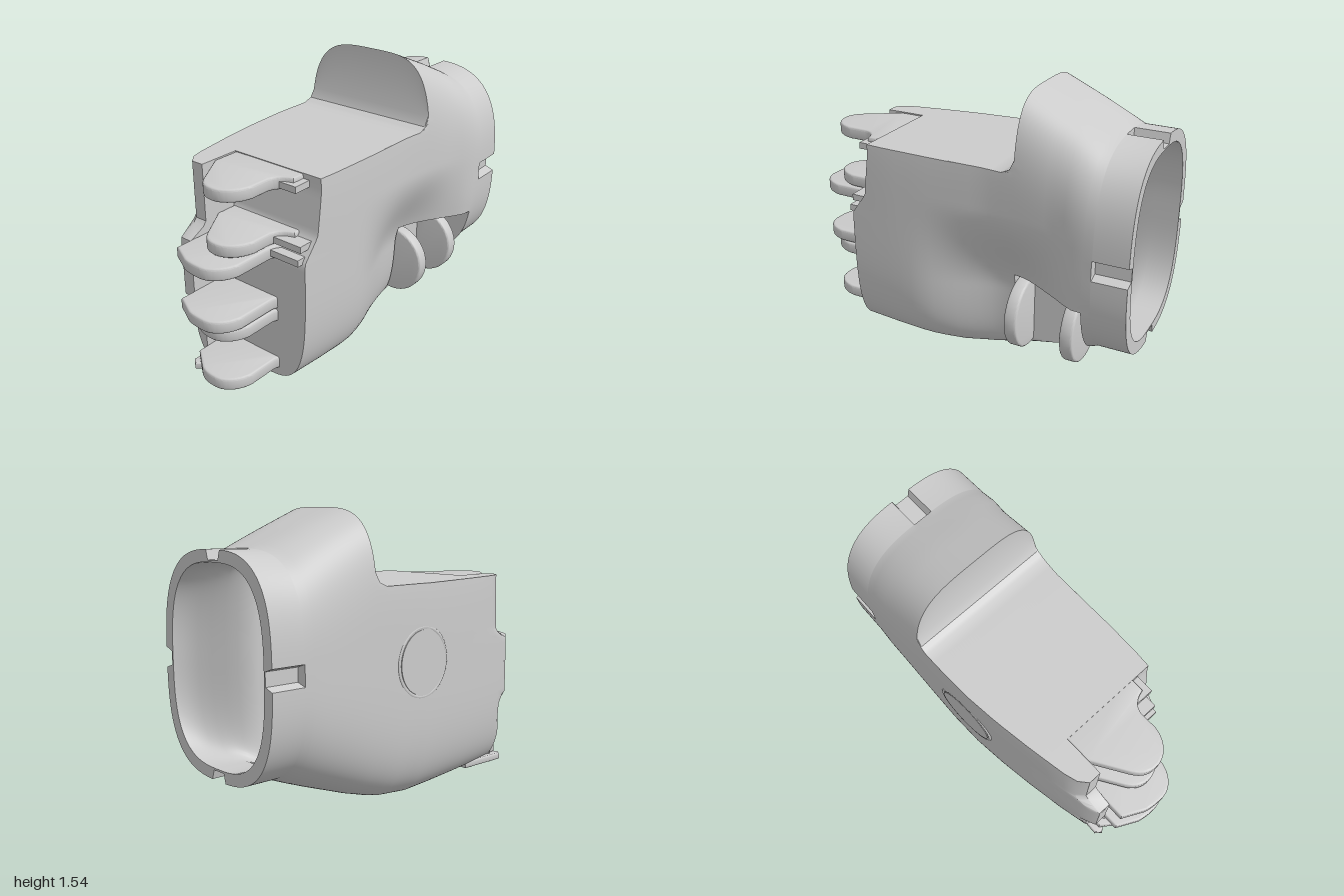
import * as THREE from 'three';
import { toCreasedNormals } from 'three/addons/utils/BufferGeometryUtils.js';

const N = 200; // points around each cross-section
const grey = new THREE.MeshStandardMaterial({ color: 0xcccccc });
const { smoothstep, lerp } = THREE.MathUtils;

// Linear lookup in rows of [key, values...]
function lookup(rows, k) {
  if (k <= rows[0][0]) return rows[0].slice(1);
  for (let i = 1; i < rows.length; i++) {
    const a = rows[i - 1], b = rows[i];
    if (k <= b[0]) {
      const t = (k - a[0]) / (b[0] - a[0]);
      return a.slice(1).map((v, j) => v + (b[j + 1] - v) * t);
    }
  }
  return rows[rows.length - 1].slice(1);
}

// z, half width on -x, half width on +x, bottom, top, squareness
const SECTIONS = [
  [-1, 0.44, 0.445, 0.235, 1.35, 2.9],
  [-0.82, 0.445, 0.45, 0.235, 1.35, 2.9],
  [-0.72, 0.45, 0.44, 0.195, 1.395, 3.1],
  [-0.6, 0.45, 0.41, 0.15, 1.45, 3.3],
  [-0.37, 0.45, 0.38, 0.07, 1.545, 3.8],
  [-0.2, 0.45, 0.36, 0.02, 1.55, 4],
  [0, 0.445, 0.36, 0, 1.55, 4],
  [0.2, 0.425, 0.36, 0.005, 1.55, 4],
  [0.4, 0.395, 0.355, 0.01, 1.55, 4],
  [0.6, 0.36, 0.34, 0.015, 1.55, 4],
  [0.85, 0.3, 0.33, 0.022, 1.55, 4],
];
// Height of the flat deck in front of the raised cuff
const DECK = [[-0.371, 2], [-0.37, 1.24], [-0.345, 1.185], [-0.3, 1.165], [1, 1.165]];
// Front wall and finger guard edges: y, z
const FRONT = [[0, 0.62], [0.75, 0.62], [0.87, 0.53], [1.1, 0.5]];
const GUARD = [[0, 0.78], [0.4, 0.78], [0.45, 0.84], [0.78, 0.84], [0.84, 0.73]];

// Plain rounded-square section with the flat deck
function basePoint(z, j, inset) {
  const [xl, xr, yb, yt, n] = lookup(SECTIONS, z);
  const a = (j / N) * Math.PI * 2, c = Math.cos(a), s = Math.sin(a);
  const r = Math.pow(Math.abs(c) ** n + Math.abs(s) ** n, -1 / n);
  const cy = (yb + yt) / 2;
  const y = cy + s * r * ((yt - yb) / 2 - inset);
  return { x: c * r * ((c > 0 ? xr : xl) - inset), y: Math.min(y, lookup(DECK, z + inset)[0] - inset), c, s, cy };
}

// Outer skin: slots in the cuff, thumb hollow and the recess cut into it
function outerPoint(z, j) {
  let { x, y, c, s, cy } = basePoint(z, j, 0);
  if (z < -0.82) {
    if (Math.abs(x) < 0.046) y -= Math.sign(s) * 0.05;
    else if (Math.abs(y - cy) < 0.046) x -= Math.sign(c) * 0.05;
  }
  const inRecess = z > -0.77 && z < -0.32;
  if (inRecess && x > 0.15 && Math.abs(y - 0.545) < 0.018) y = 0.545;
  if (x > 0) {
    const along = smoothstep(-z, -0.25, 0.3) * (1 - smoothstep(-z, 0.32, 0.76));
    x *= 1 - 0.42 * along * (1 - smoothstep(y, 0.44, 0.93));
  }
  if (inRecess && y < 0.545) x = Math.min(x, 0.15);
  return [x, y, z];
}

// Interior: its +x side tapers smoothly past the thumb recess
function innerPoint(z, j) {
  const { x, y } = basePoint(z, j, 0.06);
  return [x > 0 ? x * lerp(1, 0.2, smoothstep(z, -1, -0.7)) : x, y, z];
}

function loft(loops) {
  const index = [];
  for (let i = 0; i < loops.length - 1; i++) {
    for (let j = 0; j < N; j++) {
      const k = (j + 1) % N, a = i * N, b = a + N;
      index.push(a + j, a + k, b + k, a + j, b + k, b + j);
    }
  }
  const g = new THREE.BufferGeometry();
  g.setAttribute('position', new THREE.Float32BufferAttribute(loops.flat(2), 3));
  g.setIndex(index);
  return toCreasedNormals(g, 0.55);
}

function shellGeometry() {
  const loop = (f) => Array.from({ length: N }, (_, j) => f(j));
  // hollow interior, from its far wall back to the rim
  const inside = [0.42, 0.2, 0, -0.2, -0.36, -0.405, -0.43, -0.431, -0.5, -0.6,
    -0.7, -0.74, -0.78, -0.82, -0.86, -0.9, -0.95, -1];
  // outer skin, from the rim to the knuckles
  const outside = [-1, -0.821, -0.819, -0.771, -0.769, -0.72, -0.66, -0.6, -0.55, -0.5, -0.46, -0.42,
    -0.371, -0.37, -0.345, -0.321, -0.319, -0.3, -0.24, -0.18, -0.12, -0.06, 0, 0.06, 0.12, 0.18, 0.25, 0.32, 0.4];
  const loops = [loop((j) => [0, innerPoint(0.42, j)[1], 0.42])];
  inside.forEach((z) => loops.push(loop((j) => innerPoint(z, j))));
  outside.forEach((z) => loops.push(loop((j) => outerPoint(z, j))));
  // sloped front wall, then the guard running on along the -x side
  const edge = (rows, minX, maxX, f = 1) => loop((j) => {
    const y = outerPoint(0.5, j)[1];
    const z0 = lookup(FRONT, y)[0], z = z0 + (lookup(rows, y)[0] - z0) * f;
    const p = outerPoint(z, j);
    return [Math.min(Math.max(p[0], minX), maxX), p[1], z];
  });
  loops.push(edge(FRONT, -1, 1), edge(FRONT, -1, -0.22), edge(GUARD, -1, -0.22, 0.5),
    edge(GUARD, -0.33, -0.22, 0.8), edge(GUARD, -0.29, -0.22));
  loops.push(loops[loops.length - 1].map((p) => [-0.235, p[1], p[2]]));
  return loft(loops);
}

// Flat slab from an outline in x and z, centred on y = 0
function slab(shape, thickness, b) {
  const g = new THREE.ExtrudeGeometry(shape, {
    depth: thickness - 2 * b, bevelEnabled: true, bevelThickness: b, bevelSize: b,
    bevelSegments: 3, curveSegments: 24,
  });
  g.translate(0, 0, -(thickness - 2 * b) / 2);
  g.rotateX(Math.PI / 2);
  return toCreasedNormals(g, 0.6);
}

// Hinge plate with a rounded tip; shoulder is how far its left corner lies behind the tip
function hingePlate(tip, shoulder) {
  const s = new THREE.Shape();
  s.moveTo(-0.21, 0.45);
  s.lineTo(-0.21, tip - shoulder);
  s.lineTo(-0.1, tip - 0.3 * shoulder);
  s.bezierCurveTo(-0.06, tip - 0.012, -0.02, tip - 0.012, 0.01, tip - 0.012);
  s.bezierCurveTo(0.07, tip - 0.014, 0.12, tip - 0.07, 0.13, tip - 0.14);
  s.lineTo(0.13, 0.65);
  s.quadraticCurveTo(0.14, 0.58, 0.22, 0.56);
  s.lineTo(0.22, 0.45);
  return slab(s, 0.068, 0.012);
}

// Thumb plate: a disc whose inner side is cut off by the recess wall
function thumbPlate() {
  const s = new THREE.Shape();
  s.absarc(0.185, 0, 0.187, -1.95, 1.95);
  return slab(s, 0.072, 0.012).rotateX(-Math.PI / 2);
}

export function createModel() {
  const model = new THREE.Group();
  const add = (name, geometry, x = 0, y = 0, z = 0) => {
    const m = new THREE.Mesh(geometry, grey);
    m.name = name;
    m.position.set(x, y, z);
    model.add(m);
    return m;
  };

  add('palmShell', shellGeometry());

  // Three pairs of finger hinge plates: upper y, lower y, tip z, shoulder
  [[1.127, 0.838, 0.89, 0.25], [0.76, 0.467, 1, 0.08], [0.393, 0.102, 0.95, 0.12]].forEach(([hi, lo, tip, sh], i) => {
    add('fingerHingeUpper' + (i + 1), hingePlate(tip, sh), 0, hi, 0);
    add('fingerHingeLower' + (i + 1), hingePlate(tip, sh), 0, lo, 0);
  });

  // Short ribs beside the hinges
  [[1.12, 0.55, 0.27], [0.83, 0.58, 0.32], [0.765, 0.6, 0.32]].forEach(([y, z, right], i) => {
    add('knuckleRib' + (i + 1), new THREE.BoxGeometry(right - 0.13, 0.035, 0.1), (right + 0.13) / 2, y, z);
  });

  // Pointed lip along the bottom front edge
  const lip = new THREE.Shape();
  lip.moveTo(-0.24, 0.55);
  lip.lineTo(-0.25, 0.84);
  lip.lineTo(-0.225, 0.86);
  lip.lineTo(0.05, 0.63);
  lip.lineTo(0.05, 0.55);
  add('bottomLip', slab(lip, 0.04, 0.008), 0, 0.048, 0);

  // Thumb hinge plates in the recess
  [-0.368, -0.68].forEach((z, i) => add('thumbHinge' + (i + 1), thumbPlate(), 0, 0.325, z));

  // Round boss on the back of the hand, almost flush
  const boss = new THREE.Group();
  boss.name = 'backBoss';
  const plate = new THREE.Mesh(new THREE.CylinderGeometry(0.17, 0.17, 0.03, 48).rotateZ(Math.PI / 2), grey);
  plate.name = 'bossPlate';
  const rim = new THREE.Mesh(new THREE.TorusGeometry(0.18, 0.014, 10, 48).rotateY(Math.PI / 2), grey);
  rim.name = 'bossRim';
  boss.add(plate, rim);
  boss.position.set(-0.433, 0.76, -0.04);
  boss.rotation.y = 0.04;
  model.add(boss);

  return model;
}
